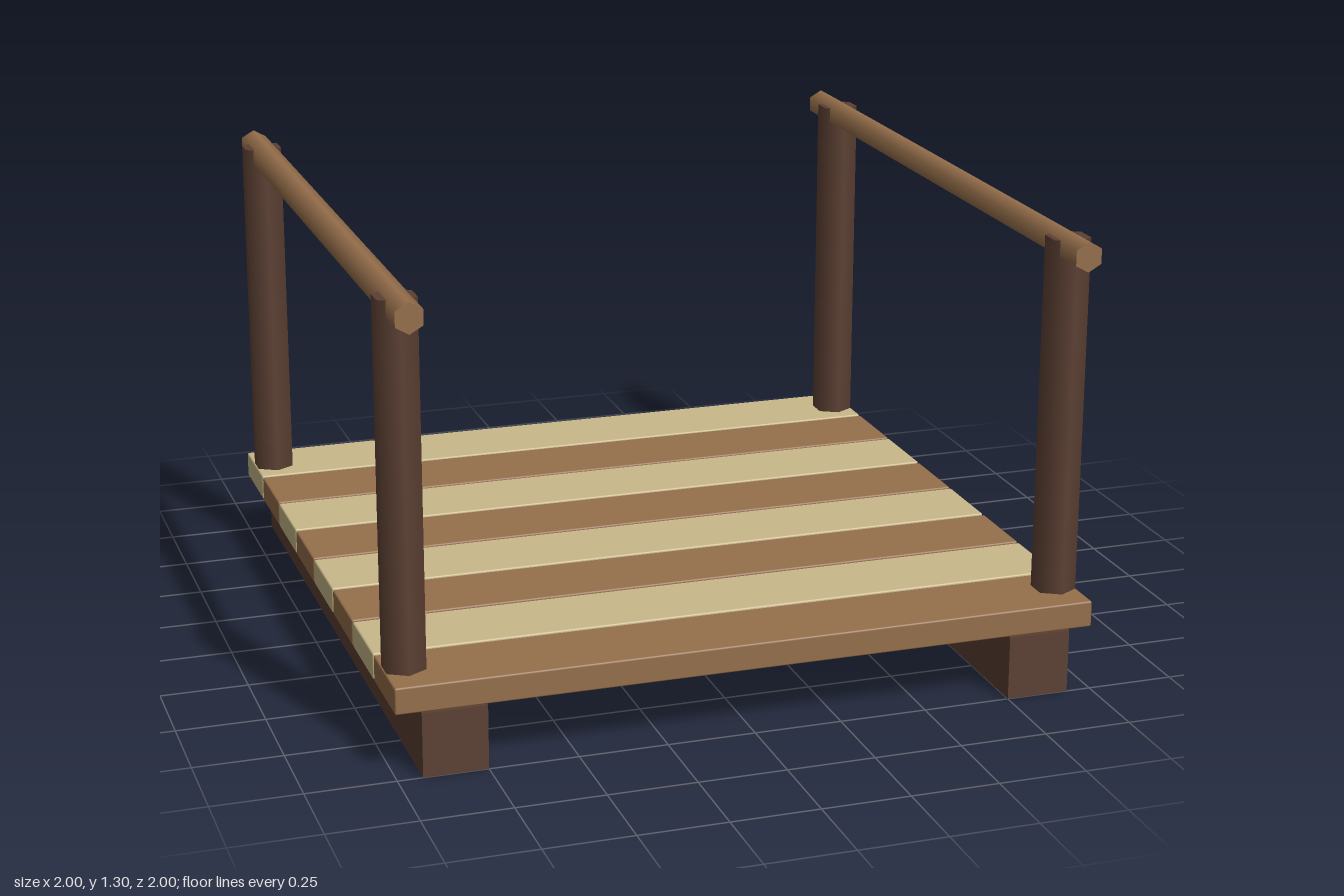
import * as THREE from 'three';
import { RoundedBoxGeometry } from 'three/addons/geometries/RoundedBoxGeometry.js';

const material = (color) => new THREE.MeshStandardMaterial({ color });

export function createModel() {
  const model = new THREE.Group();
  const darkWood = material(0x5c4033);
  const brownWood = material(0x966f4b);
  const paleWood = material(0xc8b88a);

  const add = (name, geometry, mat, x, y, z) => {
    const mesh = new THREE.Mesh(geometry, mat);
    mesh.name = name;
    mesh.position.set(x, y, z);
    model.add(mesh);
    return mesh;
  };

  // Deck planks, alternating colours, brown at the front
  const plankGeometry = new RoundedBoxGeometry(2, 0.076, 0.24, 1, 0.005);
  for (let i = 0; i < 8; i++) {
    add('plank' + (i + 1), plankGeometry, i % 2 ? paleWood : brownWood, 0, 0.222, 0.875 - i * 0.25);
  }

  // Beams, posts and handrails on both sides
  const beamGeometry = new THREE.BoxGeometry(0.18, 0.184, 2);
  const postGeometry = new THREE.CylinderGeometry(0.0625, 0.0625, 1.035, 6);
  const railGeometry = new THREE.CylinderGeometry(0.043, 0.043, 2, 6).rotateX(Math.PI / 2);
  for (const [side, s] of [['left', 1], ['right', -1]]) {
    add(side + 'Beam', beamGeometry, darkWood, s * 0.84, 0.092, 0);
    add(side + 'Handrail', railGeometry, brownWood, s * 0.938, 1.262, 0);
    add(side + 'FrontPost', postGeometry, darkWood, s * 0.942, 0.7675, 0.86);
    add(side + 'BackPost', postGeometry, darkWood, s * 0.942, 0.7675, -0.86);
  }
  return model;
}
